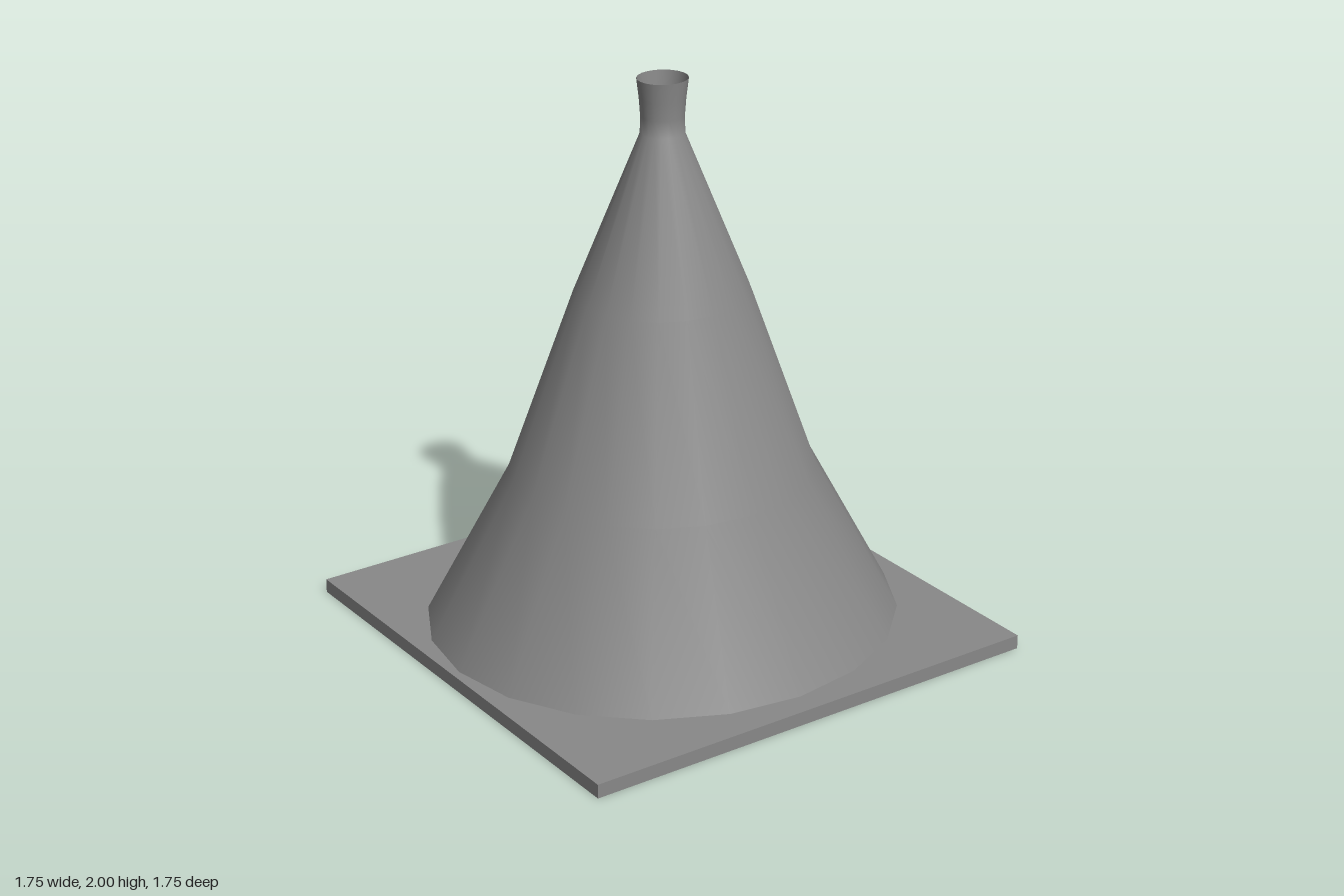
import * as THREE from 'three';

export function createModel() {
  const group = new THREE.Group();
  const material = new THREE.MeshStandardMaterial({ color: 0x888888 });
  const shellMaterial = new THREE.MeshStandardMaterial({ color: 0x888888, side: THREE.DoubleSide });

  // Thin square slab
  const base = new THREE.Mesh(new THREE.BoxGeometry(1.752, 0.05, 1.752), material);
  base.name = 'base';
  base.position.y = 0.025;
  group.add(base);

  // Hollow, open-topped cone with a flared neck: [radius, height]
  const profile = [
    [0.842, 0.05], [0.541, 0.605], [0.308, 1.25], [0.077, 1.81],
    [0.0755, 1.87], [0.08, 1.93], [0.0885, 2],
  ].map(([r, y]) => new THREE.Vector2(r, y));
  const cone = new THREE.Mesh(new THREE.LatheGeometry(profile, 20), shellMaterial);
  cone.name = 'cone';
  cone.scale.z = 0.95; // slightly oval
  cone.position.set(-0.005, 0, -0.011);
  group.add(cone);

  return group;
}
